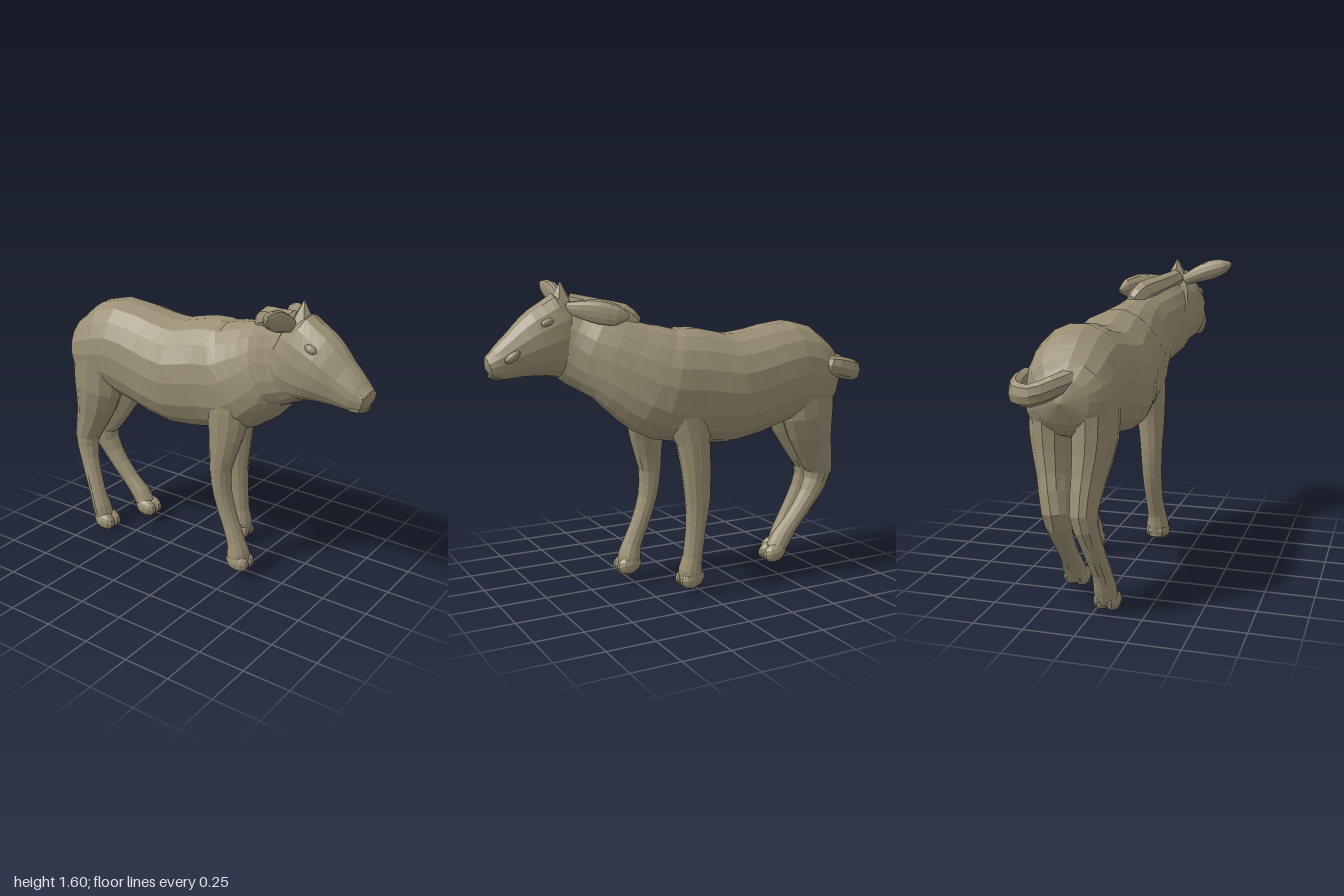
import * as THREE from 'three';

const hide = new THREE.MeshStandardMaterial({ color: 0x9a8f74, flatShading: true });
const V = (x, y, z) => new THREE.Vector3(x, y, z);

// Skin a tube through elliptical sections [x, y, z, halfWidth, halfDepth].
// up points along the depth axis; hollow scales the under half (thin ears),
// square < 1 makes the under half boxier (belly, jaw).
function loft(name, sections, { up = V(0, 1, 0), sides = 14, steps = 2, hollow = 1, square = 1, bulge = 0.35 } = {}) {
  const path = new THREE.CatmullRomCurve3(sections.map(s => V(s[0], s[1], s[2])));
  const size = new THREE.CatmullRomCurve3(sections.map(s => V(s[3], s[4], 0)));
  const rings = (sections.length - 1) * steps;
  const pos = [], index = [], ends = [];
  for (let i = 0; i <= rings; i++) {
    const u = i / rings, c = path.getPoint(u), r = size.getPoint(u), t = path.getTangent(u);
    const side = up.clone().cross(t).normalize();
    const n = t.clone().cross(side);
    for (let j = 0; j < sides; j++) {
      const a = (j / sides) * Math.PI * 2;
      let w = Math.cos(a), d = Math.sin(a);
      if (d < 0) {
        w = Math.sign(w) * Math.abs(w) ** square;
        d = -hollow * Math.abs(d) ** square;
      }
      const p = c.clone().addScaledVector(side, r.x * w).addScaledVector(n, r.y * d);
      pos.push(p.x, p.y, p.z);
    }
    if (i === 0) ends.push(c.clone().addScaledVector(t, -bulge * r.y));
    if (i === rings) ends.push(c.clone().addScaledVector(t, bulge * r.y));
  }
  ends.forEach(p => pos.push(p.x, p.y, p.z));
  const first = (rings + 1) * sides, last = rings * sides;
  for (let j = 0; j < sides; j++) {
    const k = (j + 1) % sides;
    for (let i = 0; i < rings; i++) {
      const a = i * sides, b = a + sides;
      index.push(a + j, a + k, b + k, a + j, b + k, b + j);
    }
    index.push(first, k, j, first + 1, last + j, last + k);
  }
  const geo = new THREE.BufferGeometry();
  geo.setAttribute('position', new THREE.Float32BufferAttribute(pos, 3));
  geo.setIndex(index);
  geo.computeVertexNormals();
  const mesh = new THREE.Mesh(geo, hide);
  mesh.name = name;
  return mesh;
}

// Small ellipsoid for hooves, eyes and lips
function lump(name, p, s, rx = 0) {
  const mesh = new THREE.Mesh(new THREE.SphereGeometry(1, 10, 7), hide);
  mesh.name = name;
  mesh.position.set(...p);
  mesh.scale.set(...s);
  mesh.rotation.x = rx;
  return mesh;
}

// Leg with a cloven foot at the given point
function leg(name, sections, [x, y, z]) {
  const g = new THREE.Group();
  g.name = name;
  g.add(loft(name + 'Limb', sections, { up: V(0, 0, 1), sides: 12, bulge: 0.1 }));
  for (const s of [-1, 1]) {
    g.add(lump('hoof', [x + s * 0.026, y, z], [0.042, 0.05, 0.07], 0.25));
  }
  return g;
}

export function createModel() {
  const model = new THREE.Group();
  model.name = 'calf';

  // Trunk running from rump into the turned neck
  model.add(loft('bodyAndNeck', [
    [0.085, 1.06, -0.885, 0.13, 0.11],
    [0.085, 1.065, -0.84, 0.195, 0.18],
    [0.09, 1.08, -0.74, 0.222, 0.235],
    [0.10, 1.11, -0.60, 0.232, 0.265],
    [0.11, 1.075, -0.42, 0.245, 0.27],
    [0.115, 1.04, -0.20, 0.27, 0.285],
    [0.12, 1.07, 0.00, 0.245, 0.295],
    [0.11, 1.085, 0.14, 0.238, 0.29],
    [0.09, 1.14, 0.26, 0.20, 0.265],
    [0.05, 1.215, 0.39, 0.155, 0.22],
    [-0.03, 1.275, 0.51, 0.13, 0.21],
    [-0.07, 1.32, 0.60, 0.11, 0.185],
  ], { sides: 18, square: 0.8 }));

  // Head
  const head = new THREE.Group();
  head.name = 'head';
  head.add(loft('skull', [
    [-0.065, 1.37, 0.51, 0.09, 0.15],
    [-0.07, 1.335, 0.58, 0.12, 0.22],
    [-0.08, 1.295, 0.72, 0.128, 0.178],
    [-0.09, 1.245, 0.84, 0.098, 0.12],
    [-0.095, 1.205, 0.93, 0.08, 0.083],
    [-0.10, 1.19, 0.98, 0.06, 0.055],
  ], { sides: 16, steps: 3, square: 0.8 }));
  for (const s of [-1, 1]) {
    head.add(lump('eye', [-0.078 + s * 0.1, 1.405, 0.715], [0.02, 0.02, 0.035], 0.4));
    head.add(lump('nostril', [-0.098 + s * 0.042, 1.215, 0.96], [0.022, 0.02, 0.026]));
  }
  head.add(lump('lowerLip', [-0.098, 1.152, 0.92], [0.064, 0.026, 0.065], 0.1));
  head.add(lump('mouthFlap', [-0.005, 1.245, 0.885], [0.022, 0.02, 0.05], 0.6));
  model.add(head);

  // Pointed tuft on the poll
  const tuft = new THREE.Mesh(new THREE.ConeGeometry(0.075, 0.13, 6), hide);
  tuft.name = 'pollTuft';
  tuft.position.set(-0.07, 1.535, 0.61);
  model.add(tuft);

  // Ridge of mane from poll to withers
  model.add(loft('mane', [
    [-0.075, 1.49, 0.57, 0.05, 0.05],
    [-0.01, 1.45, 0.45, 0.06, 0.065],
    [0.06, 1.415, 0.34, 0.06, 0.075],
    [0.10, 1.38, 0.27, 0.04, 0.04],
  ], { sides: 8 }));

  // Ears, thinner on the side facing outwards
  model.add(loft('rightEar', [
    [-0.12, 1.48, 0.585, 0.03, 0.03],
    [-0.19, 1.51, 0.585, 0.043, 0.045],
    [-0.27, 1.54, 0.59, 0.052, 0.05],
    [-0.34, 1.56, 0.595, 0.038, 0.04],
    [-0.38, 1.575, 0.60, 0.012, 0.012],
  ], { up: V(0, 0, -1), sides: 12, hollow: 0.5 }));
  model.add(loft('leftEar', [
    [-0.01, 1.47, 0.60, 0.03, 0.035],
    [0.05, 1.465, 0.55, 0.045, 0.045],
    [0.12, 1.455, 0.48, 0.06, 0.045],
    [0.175, 1.44, 0.41, 0.05, 0.035],
    [0.20, 1.43, 0.365, 0.012, 0.01],
  ], { up: V(-0.8, 0, -0.6), sides: 12, hollow: 0.4 }));

  // Four legs, caught mid-stride, with shoulders and thighs sunk into the trunk
  model.add(leg('frontRightLeg', [
    [0.02, 1.08, 0.15, 0.13, 0.13],
    [-0.015, 0.92, 0.16, 0.108, 0.12],
    [-0.04, 0.79, 0.16, 0.078, 0.095],
    [-0.05, 0.60, 0.135, 0.06, 0.06],
    [-0.05, 0.45, 0.15, 0.054, 0.05],
    [-0.05, 0.30, 0.20, 0.049, 0.047],
    [-0.055, 0.20, 0.24, 0.052, 0.05],
    [-0.055, 0.14, 0.255, 0.063, 0.06],
    [-0.055, 0.075, 0.265, 0.065, 0.06],
  ], [-0.055, 0.095, 0.268]));
  model.add(leg('frontLeftLeg', [
    [0.21, 1.08, 0.07, 0.13, 0.14],
    [0.24, 0.92, 0.06, 0.108, 0.125],
    [0.27, 0.79, 0.045, 0.078, 0.088],
    [0.28, 0.50, 0.025, 0.058, 0.068],
    [0.28, 0.35, 0.035, 0.052, 0.052],
    [0.275, 0.20, 0.05, 0.053, 0.05],
    [0.27, 0.13, 0.06, 0.063, 0.06],
    [0.265, 0.06, 0.06, 0.065, 0.058],
  ], [0.265, 0.083, 0.06]));
  model.add(leg('hindLeftLeg', [
    [0.19, 1.10, -0.69, 0.11, 0.17],
    [0.19, 0.87, -0.705, 0.108, 0.155],
    [0.165, 0.68, -0.765, 0.082, 0.112],
    [0.138, 0.53, -0.825, 0.073, 0.08],
    [0.14, 0.40, -0.77, 0.056, 0.057],
    [0.145, 0.25, -0.65, 0.047, 0.048],
    [0.15, 0.17, -0.58, 0.053, 0.055],
    [0.15, 0.11, -0.54, 0.058, 0.055],
  ], [0.15, 0.1, -0.522]));
  model.add(leg('hindRightLeg', [
    [-0.02, 1.10, -0.71, 0.11, 0.17],
    [-0.02, 0.87, -0.725, 0.105, 0.155],
    [-0.005, 0.68, -0.785, 0.08, 0.108],
    [0.0, 0.53, -0.845, 0.066, 0.075],
    [-0.02, 0.40, -0.82, 0.053, 0.055],
    [-0.05, 0.22, -0.745, 0.048, 0.047],
    [-0.055, 0.13, -0.71, 0.058, 0.052],
    [-0.055, 0.06, -0.685, 0.06, 0.05],
  ], [-0.055, 0.053, -0.67]));

  // Tail curling round to the left
  model.add(loft('tail', [
    [0.05, 1.16, -0.85, 0.05, 0.05],
    [0.11, 1.13, -0.92, 0.035, 0.052],
    [0.20, 1.095, -0.967, 0.032, 0.052],
    [0.275, 1.10, -0.945, 0.036, 0.055],
    [0.293, 1.12, -0.86, 0.037, 0.058],
    [0.285, 1.14, -0.79, 0.042, 0.05],
    [0.25, 1.15, -0.765, 0.025, 0.03],
  ], { sides: 8 }));

  return model;
}
